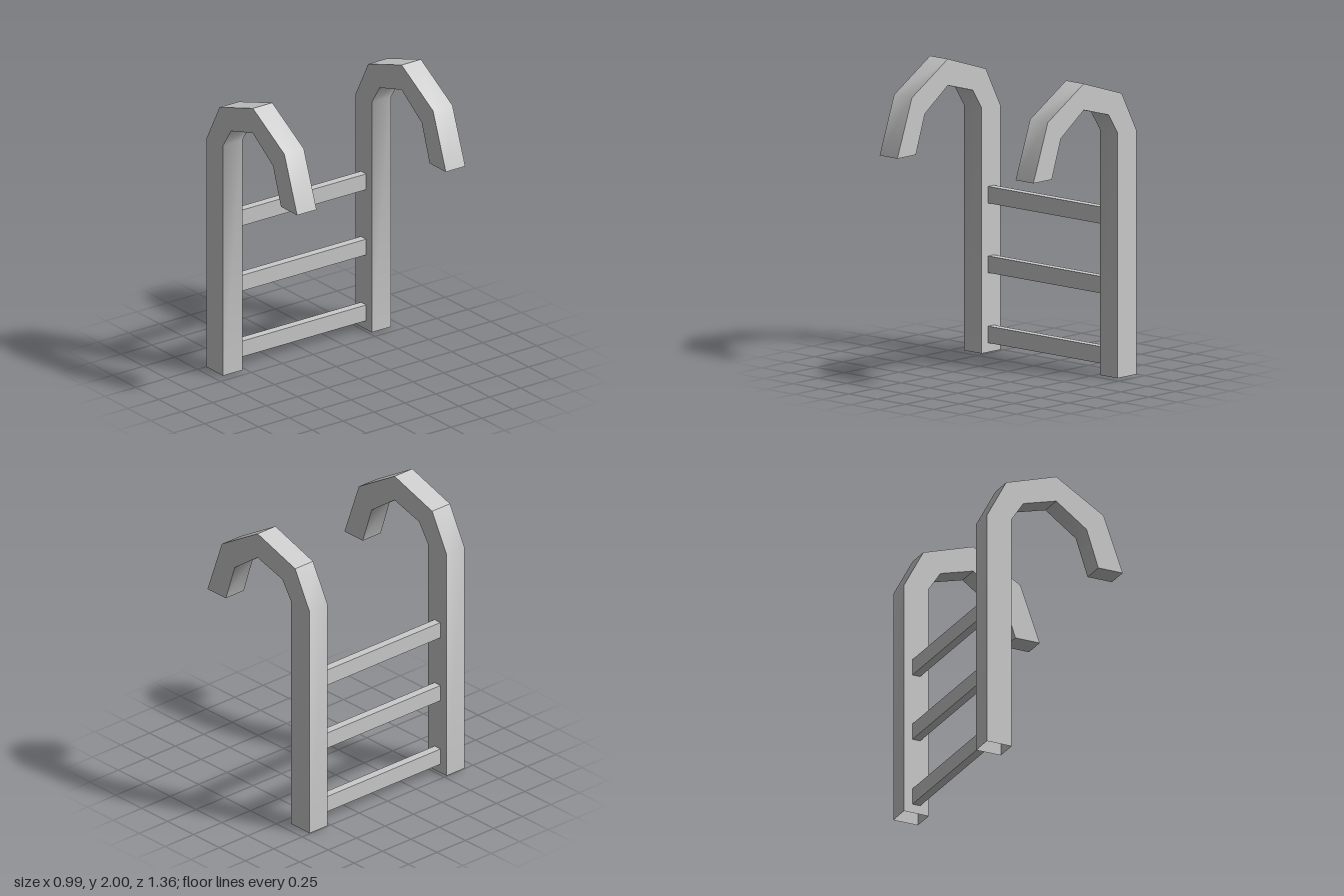
import * as THREE from 'three';
import { toCreasedNormals } from 'three/addons/utils/BufferGeometryUtils.js';

const INNER_Z = 0.523, OUTER_Z = 0.68;

// Hooked rail side profile, foot to tip: [outer x, outer y, inner x, inner y]
const STATIONS = [
  [-0.495, 0, -0.316, 0],
  [-0.495, 1.62, -0.316, 1.627],
  [-0.355, 1.883, -0.23, 1.758],
  [0.008, 2, 0.008, 1.825],
  [0.352, 1.793, 0.228, 1.668],
  [0.491, 1.41, 0.314, 1.41],
];

// Square tube through the stations: open at the foot, closed at the tip
function railGeometry(z0, z1) {
  const rings = STATIONS.map(([ox, oy, ix, iy]) => [
    [ox, oy, z0], [ox, oy, z1], [ix, iy, z1], [ix, iy, z0],
  ]);
  const positions = [];
  const quad = (a, b, c, d) => positions.push(...a, ...b, ...c, ...a, ...c, ...d);
  for (let i = 0; i < rings.length - 1; i++) {
    for (let j = 0; j < 4; j++) {
      const k = (j + 1) % 4;
      quad(rings[i][j], rings[i][k], rings[i + 1][k], rings[i + 1][j]);
    }
  }
  quad(...rings[rings.length - 1]);
  const geometry = new THREE.BufferGeometry();
  geometry.setAttribute('position', new THREE.Float32BufferAttribute(positions, 3));
  // Gentle bends stay smooth, sharper ones are creased
  return toCreasedNormals(geometry, THREE.MathUtils.degToRad(40.7));
}

export function createModel() {
  const group = new THREE.Group();
  group.name = 'poolLadder';
  const material = new THREE.MeshStandardMaterial({ color: 0xcccccc });
  const openMaterial = new THREE.MeshStandardMaterial({ color: 0xcccccc, side: THREE.DoubleSide });

  // Pair of hooked rails
  const rails = [['frontRail', INNER_Z, OUTER_Z], ['backRail', -OUTER_Z, -INNER_Z]];
  for (const [name, z0, z1] of rails) {
    const rail = new THREE.Mesh(railGeometry(z0, z1), openMaterial);
    rail.name = name;
    group.add(rail);
  }

  // Rungs between the posts
  const rungGeometry = new THREE.BoxGeometry(0.057, 0.111, INNER_Z * 2);
  [0.117, 0.582, 1.043].forEach((y, i) => {
    const rung = new THREE.Mesh(rungGeometry, material);
    rung.name = `rung${i + 1}`;
    rung.position.set(-0.406, y, 0);
    group.add(rung);
  });

  return group;
}
